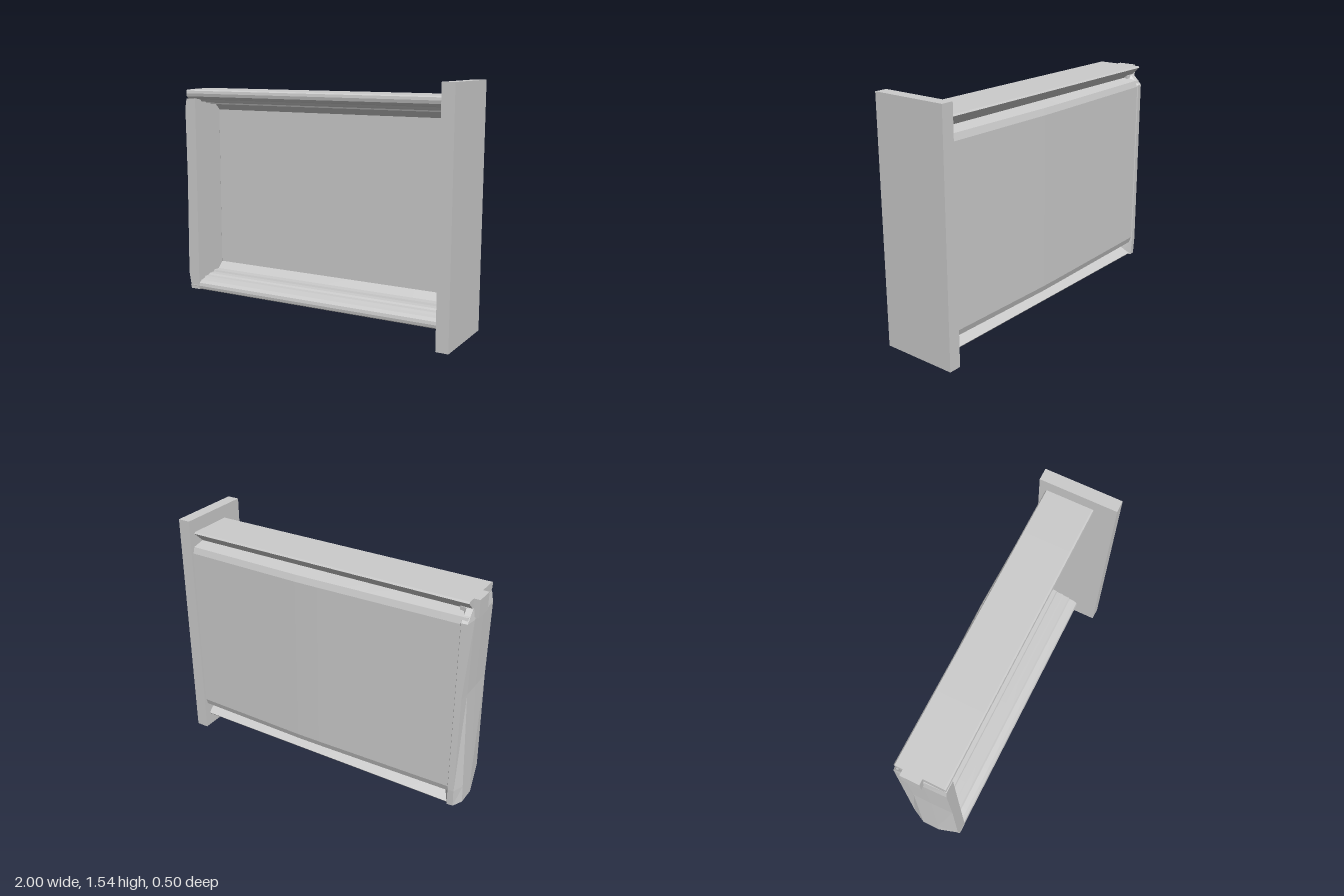
import * as THREE from 'three';

const H = 1.54; // full height; the tray is symmetric about H / 2

function makeMesh(name, geometry, parent) {
  const material = new THREE.MeshStandardMaterial({ color: 0xcccccc, flatShading: true });
  const mesh = new THREE.Mesh(geometry, material);
  mesh.name = name;
  parent.add(mesh);
  return mesh;
}

function box(name, x0, x1, y0, y1, z0, z1, parent) {
  const g = new THREE.BoxGeometry(x1 - x0, y1 - y0, z1 - z0);
  g.translate((x0 + x1) / 2, (y0 + y1) / 2, (z0 + z1) / 2);
  return makeMesh(name, g, parent);
}

// C-shaped section (rails and back panel) swept along x, the panel bowed backwards
function trayGeometry(x0, x1) {
  const half = [ // [z, y] of the lower rail, from the inner panel round to the outer panel
    [-0.16, 0.23], [-0.115, 0.187], [-0.06, 0.187], [-0.055, 0.175], [-0.01, 0.175],
    [0, 0.165], [0.04, 0.165], [0.05, 0.152], [0.085, 0.147], [0.105, 0.13],
    [0.11, 0.11], [0.107, 0.092], [0.098, 0.085], [-0.2, 0.085], [-0.208, 0.095],
    [-0.135, 0.162], [-0.205, 0.18], [-0.218, 0.22],
  ];
  const upper = half.map(([z, y]) => [z, H - y]).reverse();
  const shape = new THREE.Shape([...half, ...upper].map(([z, y]) => new THREE.Vector2(-z, y)));
  const g = new THREE.ExtrudeGeometry(shape, { depth: x1 - x0, steps: 12, bevelEnabled: false });
  g.rotateY(Math.PI / 2).translate(x0, 0, 0);
  const p = g.attributes.position;
  for (let i = 0; i < p.count; i++) {
    const y = p.getY(i), z = p.getZ(i);
    if (z < -0.2 && y > 0.17 && y < H - 0.17) {
      const x = p.getX(i);
      const bow = x < 0.1 ? (x - x0) / (0.1 - x0) : 1 - 0.45 * (x - 0.1) / (x1 - 0.1);
      p.setZ(i, z - 0.026 * bow);
    }
  }
  g.computeVertexNormals();
  return g;
}

// Closed solid from equal rings stacked upwards, each clockwise seen from above
function loft(rings) {
  const n = rings[0].length, index = [];
  for (let r = 0; r < rings.length - 1; r++) {
    for (let i = 0; i < n; i++) {
      const a = r * n + i, b = r * n + (i + 1) % n;
      index.push(a, a + n, b, b, a + n, b + n);
    }
  }
  const top = (rings.length - 1) * n;
  for (let i = 1; i < n - 1; i++) {
    index.push(0, i, i + 1, top, top + i + 1, top + i);
  }
  const g = new THREE.BufferGeometry();
  g.setAttribute('position', new THREE.Float32BufferAttribute(rings.flat(2), 3));
  g.setIndex(index);
  const flat = g.toNonIndexed();
  flat.computeVertexNormals();
  return flat;
}

export function createModel() {
  const model = new THREE.Group();
  model.name = 'tray';

  // Large end plate
  box('endPlate', 0.92, 1, 0, H, -0.25, 0.25, model);

  // Rails and back panel
  makeMesh('railsAndBackPanel', trayGeometry(-0.962, 0.92), model);

  // Side wall: [y, outer x, front corner x, back z]
  const levels = [
    [0.086, -1, -0.955, -0.215],
    [0.2, -0.996, -0.975, -0.222],
    [0.85, -0.972, -0.968, -0.222],
    [1.33, -0.978, -0.974, -0.222],
    [1.395, -0.968, -0.962, -0.16],
  ];
  const rings = levels.map(([y, outer, corner, back]) => [
    [-0.89, y, 0.109], [corner, y, 0.109], [outer, y, -0.03], [outer, y, -0.15],
    [Math.max(outer, -0.968), y, back], [-0.93, y, back - 0.003], [-0.89, y, -0.157],
  ]);
  makeMesh('sideWall', loft(rings), model);

  // Small tab at the free end of the upper rail
  box('endTab', -1, -0.955, 1.345, 1.455, -0.15, -0.03, model);

  return model;
}
